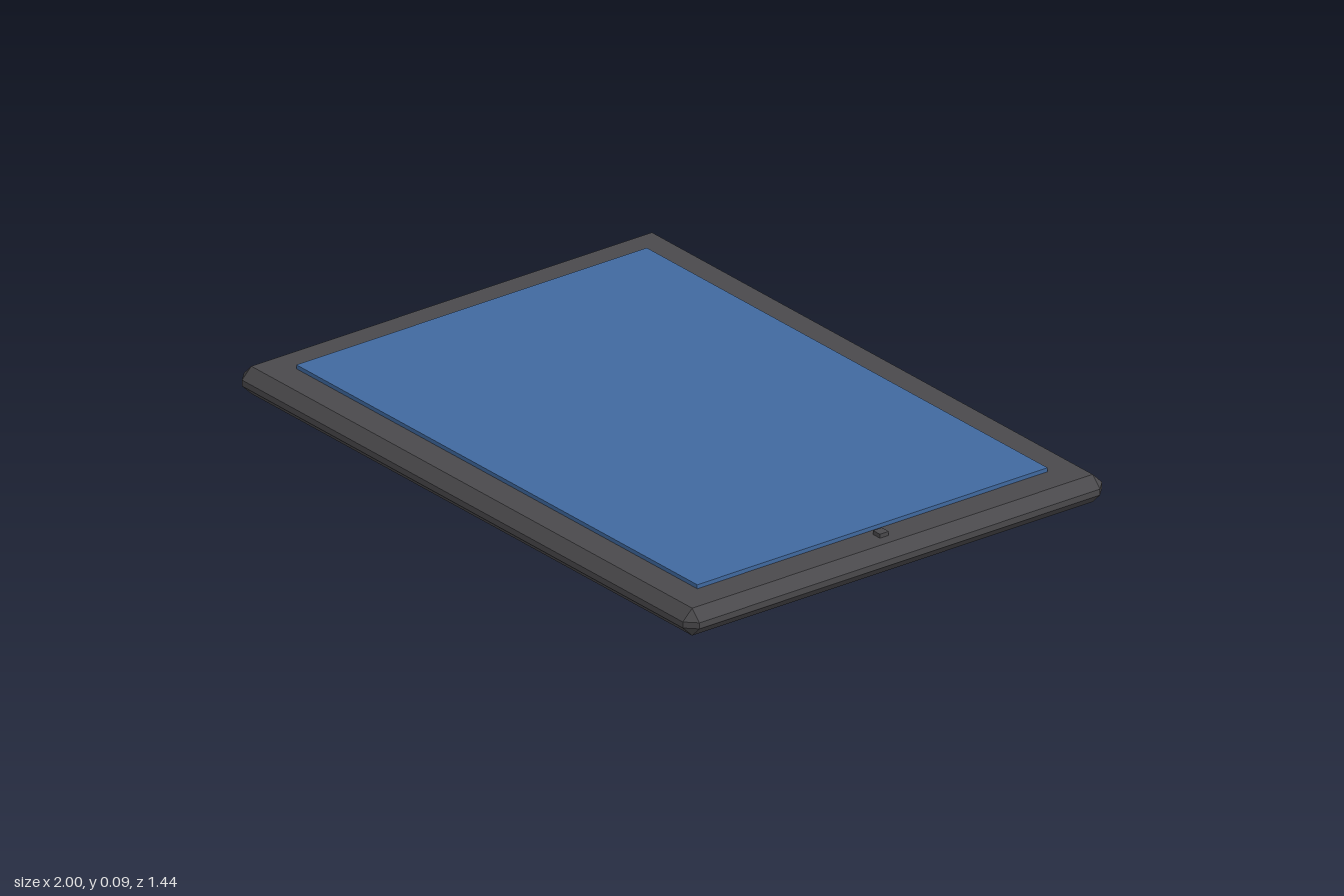
import * as THREE from 'three';
import { ConvexGeometry } from 'three/addons/geometries/ConvexGeometry.js';

const HALF_X = 1, HALF_Z = 0.718, HEIGHT = 0.082, BEVEL = 0.032;

// Box with every edge and corner cut flat, standing on y = 0
function chamferedBox(hx, height, hz, c) {
  const hy = height / 2;
  const points = [];
  for (const sx of [-1, 1]) for (const sy of [-1, 1]) for (const sz of [-1, 1]) {
    points.push(
      new THREE.Vector3(sx * hx, sy * (hy - c), sz * (hz - c)),
      new THREE.Vector3(sx * (hx - c), sy * hy, sz * (hz - c)),
      new THREE.Vector3(sx * (hx - c), sy * (hy - c), sz * hz)
    );
  }
  return new ConvexGeometry(points).translate(0, hy, 0);
}

export function createModel() {
  const group = new THREE.Group();
  group.name = 'tablet';

  const casing = new THREE.MeshStandardMaterial({ color: 0x4a494c, flatShading: true });
  casing.name = 'dark grey casing';
  const glass = new THREE.MeshStandardMaterial({ color: 0x40699f, flatShading: true });
  glass.name = 'blue screen';

  const add = (name, geometry, material, x = 0, y = 0, z = 0) => {
    const mesh = new THREE.Mesh(geometry, material);
    mesh.name = name;
    mesh.position.set(x, y, z);
    group.add(mesh);
  };

  // Chamfered casing
  add('casing', chamferedBox(HALF_X, HEIGHT, HALF_Z, BEVEL), casing);

  // Raised screen panel and small square button on the left border
  const raise = 0.012;
  add('screen', new THREE.BoxGeometry(1.76, raise, 1.2), glass, 0, HEIGHT + raise / 2, 0);
  add('button', new THREE.BoxGeometry(0.03, raise, 0.03), casing, 0.917, HEIGHT + raise / 2, 0);

  return group;
}
